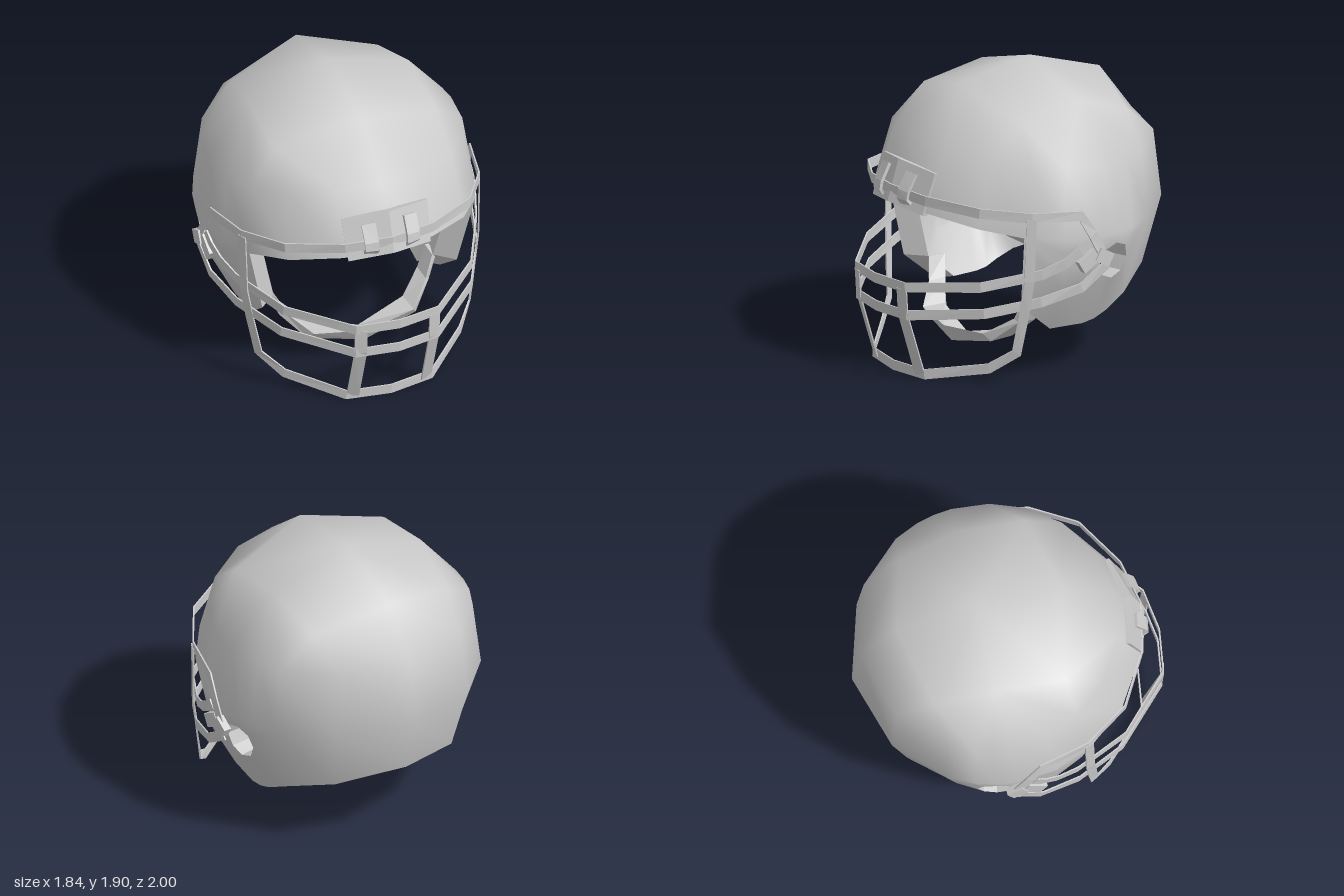
import * as THREE from 'three';

const V = (x, y, z) => new THREE.Vector3(x, y, z);
const grey = new THREE.MeshStandardMaterial({ color: 0xcccccc });
const flat = new THREE.MeshStandardMaterial({ color: 0xcccccc, flatShading: true, side: THREE.DoubleSide });

function geometryFrom(points, index) {
  const g = new THREE.BufferGeometry().setFromPoints(points);
  g.setIndex(index);
  g.computeVertexNormals();
  return g;
}

function named(name, geometry, material) {
  const mesh = new THREE.Mesh(geometry, material);
  mesh.name = name;
  return mesh;
}

// Solid through a row of four-cornered sections, capped at both ends
function loft(sections) {
  const idx = [];
  for (let s = 0; s < sections.length - 1; s++) {
    for (let i = 0; i < 4; i++) {
      const a = s * 4 + i, b = s * 4 + (i + 1) % 4;
      idx.push(a, a + 4, b + 4, a, b + 4, b);
    }
  }
  const e = (sections.length - 1) * 4;
  idx.push(0, 1, 2, 0, 2, 3, e, e + 2, e + 1, e, e + 3, e + 2);
  return geometryFrom(sections.flat(), idx);
}

// Flat bar along a path, its thin side facing away from the vertical axis
function band(path, width, thick = 0.01) {
  return loft(path.map((p, i) => {
    const t = path[Math.min(i + 1, path.length - 1)].clone().sub(path[Math.max(i - 1, 0)]).normalize();
    const r = V(p.x, 0, p.z);
    r.addScaledVector(t, -r.dot(t)).normalize();
    const w = t.clone().cross(r).multiplyScalar(width / 2);
    r.multiplyScalar(thick / 2);
    return [[1, 1], [-1, 1], [-1, -1], [1, -1]].map(([a, b]) =>
      p.clone().addScaledVector(w, a).addScaledVector(r, b));
  }));
}

const mirrored = (path) => path.map((p) => V(-p.x, p.y, p.z));
// Half path starting on the middle plane, completed on the other side
const across = (half) => [...mirrored(half.slice(1)).reverse(), ...half];

// Shell: columns by angle from the front, rows from the crown to the rim
function shellGeometry() {
  const angles = [0, 20, 42, 60, 76, 93, 101, 109, 121, 147, 180];
  const rim = [0, 0, 0, 0.5, 0.31, 0.31, 0.325, 0.365, 0.45, 0.55, 0.62];
  const n = 20, half = (j) => Math.min(j % n, n - (j % n));
  // The first row is a square of eight points, shared by neighbouring columns
  const square = { 0: V(0, 1.81, 0.36), 2: V(0.55, 1.66, 0.25), 5: V(0.55, 1.74, -0.19),
    8: V(0.5, 1.61, -0.58), 10: V(0, 1.74, -0.71) };
  const shared = [0, 0, 2, 2, 5, 5, 5, 5, 8, 8, 10];
  // width, front z, back z, middle z, and heights at front, side and back
  const rings = [
    [0.83, 0.70, -0.95, -0.12, 1.52, 1.39, 1.43],
    [0.89, 0.85, -1.00, -0.10, 1.12, 0.94, 1.01],
  ];
  const ellipse = (deg, w, zf, zb, zc) => {
    const a = deg * Math.PI / 180, c = Math.cos(a);
    return V(w * Math.sin(a), 0, zc + c * (c > 0 ? zf - zc : zc - zb));
  };
  const lower = (deg, y) => {
    const low = y < 0.62, t = low ? (y - 0.3) / 0.32 : (y - 0.62) / 0.33;
    const mix = (a, b, c) => low ? a + (b - a) * t : b + (c - b) * t;
    return ellipse(deg, mix(0.66, 0.83, 0.89), mix(0.72, 0.78, 0.85), mix(-0.75, -0.9, -1), -0.1).setY(y);
  };
  const surface = (row, h) => {
    if (row === 0) return V(0, 1.9, -0.19);
    if (row === 1) return square[h].clone();
    if (row <= 3) {
      const [w, zf, zb, zc, yf, ys, yb] = rings[row - 2];
      const c = Math.cos(angles[h] * Math.PI / 180);
      return ellipse(angles[h], w, zf, zb, zc).setY(ys + ((c > 0 ? yf : yb) - ys) * c * c);
    }
    // Vertices around the ear hole form an octagon
    if (row < 7 && h >= 5 && h <= 7) {
      const a = h - 6, b = row - 5, f = a && b ? 0.72 : 1;
      return lower(101 + a * f * 8, 0.75 - b * f * 0.12);
    }
    return lower(angles[h], 0.95 + (rim[h] - 0.95) * [0.13, 0.32, 0.52, 1][row - 4]);
  };

  const outer = [], ids = new Map();
  const vertex = (r, j) => {
    const right = j % n > n / 2;
    const h = r === 1 ? shared[half(j)] : half(j);
    // Only the columns near the ear hole keep the middle rows
    const plain = h === 3 || h >= 8;
    const row = plain && r > 3 && r < 7 ? (r < 6 ? 3 : 7) : r;
    const key = row === 0 ? 'crown' : row + ',' + (right ? n - h : h) % n;
    if (!ids.has(key)) {
      const p = surface(row, h);
      if (right) p.x *= -1;
      ids.set(key, outer.push(p) - 1);
    }
    return ids.get(key);
  };
  const faces = [];
  for (let row = 0; row < 7; row++) {
    for (let j = 0; j < n; j++) {
      const lo = Math.min(half(j), half(j + 1));
      if (row >= 3 && lo < 3) continue;
      if ((row === 4 || row === 5) && (lo === 5 || lo === 6)) continue;
      const [a, b, c, d] = [vertex(row, j), vertex(row + 1, j), vertex(row + 1, j + 1), vertex(row, j + 1)];
      for (const f of [[a, b, c], [a, c, d]]) if (new Set(f).size === 3) faces.push(f);
    }
  }

  // Inner skin, thicker around the ears and neck and bevelled at the cheek flaps
  const inner = outer.map((p) => {
    const k = p.y < 0.4 ? 0.78 : p.y < 1.02 ? 0.82 : 0.87;
    const q = V(p.x * k, p.y > 1 ? 1 + (p.y - 1) * 0.87 : p.y, (p.z + 0.1) * k - 0.1);
    if (p.y < 0.4) q.y += 0.04;
    if (p.y < 1.02 && p.z > 0.2) {
      q.z -= 0.03;
      if (p.y > 0.9) q.y -= 0.1;
    }
    return q;
  });
  // Walls along every open edge
  const points = [...outer, ...inner], idx = [], m = outer.length, edges = new Set();
  for (const f of faces) {
    idx.push(...f, f[0] + m, f[2] + m, f[1] + m);
    f.forEach((a, i) => edges.add(a + '_' + f[(i + 1) % 3]));
  }
  for (const e of edges) {
    const [a, b] = e.split('_').map(Number);
    if (edges.has(b + '_' + a)) continue;
    const k = points.length;
    points.push(outer[b], outer[a], inner[a], inner[b]);
    idx.push(k, k + 1, k + 2, k, k + 2, k + 3);
  }
  return geometryFrom(points, idx);
}

export function createModel() {
  const model = new THREE.Group();
  model.name = 'helmet';
  model.add(named('shell', shellGeometry(), grey));

  // Face guard: bars crossing the front
  const guard = new THREE.Group();
  guard.name = 'faceGuard';
  model.add(guard);
  const bars = {
    browBar: [V(0, 1.2, 0.87), V(0.3, 1.185, 0.81), V(0.63, 1.155, 0.62), V(0.81, 1.12, 0.34),
      V(0.885, 1.1, 0.02), V(0.9, 0.97, -0.06), V(0.9, 0.8, -0.15)],
    upperBar: [V(0, 0.635, 0.99), V(0.28, 0.635, 0.95), V(0.64, 0.67, 0.62), V(0.82, 0.74, 0.27),
      V(0.87, 0.8, 0.13), V(0.895, 0.87, 0.03), V(0.9, 0.92, -0.03)],
    middleBar: [V(0, 0.45, 0.98), V(0.28, 0.45, 0.94), V(0.65, 0.495, 0.6), V(0.82, 0.56, 0.28),
      V(0.89, 0.63, 0.02), V(0.9, 0.76, -0.17)],
    lowerBar: [V(0, 0.035, 0.85), V(0.29, 0.04, 0.81), V(0.6, 0.11, 0.53), V(0.72, 0.22, 0.4),
      V(0.765, 0.47, 0.375), V(0.8, 0.7, 0.355), V(0.81, 1.11, 0.345)],
  };
  for (const [name, half] of Object.entries(bars)) guard.add(named(name, band(across(half), 0.065), flat));

  // Upright bars, brow clips and side clips, one set per side
  const upright = [V(0.25, 0.62, 0.955), V(0.25, 0.45, 0.945), V(0.25, 0.03, 0.815)];
  const clip = [V(0.14, 1.33, 0.805), V(0.14, 1.22, 0.865), V(0.14, 1.17, 0.875), V(0.14, 1.135, 0.845)];
  for (const s of [1, -1]) {
    const side = s > 0 ? 'left' : 'right';
    const of = (path) => s > 0 ? path : mirrored(path);
    guard.add(named(side + 'UprightBar', band(of(upright), 0.08), flat));
    guard.add(named(side + 'BrowClip', band(of(clip), 0.09, 0.02), flat));
    for (const [x, y, z, len] of [[0.885, 0.8, -0.03, 0.14], [0.895, 0.81, -0.14, 0.11]]) {
      const block = named(side + 'SideClip', new THREE.BoxGeometry(0.05, 0.09, len), flat);
      block.position.set(s * x, y, z);
      block.rotation.x = len > 0.12 ? 0.55 : -0.5;
      guard.add(block);
    }
  }

  // Brow plate, folded at the middle and leaning back with the shell
  const plate = band(across([V(0, 1.25, 0.83), V(0.28, 1.235, 0.745)]), 0.28, 0.05);
  plate.translate(0, -1.25, -0.83).rotateX(-0.3).translate(0, 1.25, 0.83);
  model.add(named('browPlate', plate, flat));

  // Chin strap: a sloping cup with arms rising to the cheek flaps
  const strap = [
    [V(0, 0.23, 0.47), V(0, 0.12, 0.41), V(0, 0.095, 0.24), V(0, 0.16, 0.3)],
    [V(0.34, 0.25, 0.4), V(0.37, 0.2, 0.36), V(0.37, 0.21, 0.2), V(0.33, 0.25, 0.24)],
    [V(0.48, 0.36, 0.26), V(0.51, 0.34, 0.24), V(0.51, 0.34, 0.12), V(0.47, 0.37, 0.14)],
    [V(0.54, 0.5, 0.22), V(0.57, 0.49, 0.21), V(0.57, 0.49, 0.09), V(0.54, 0.5, 0.1)],
  ];
  const chin = [...strap.slice(1).reverse().map(mirrored), ...strap];
  model.add(named('chinStrap', loft(chin), flat));
  return model;
}
